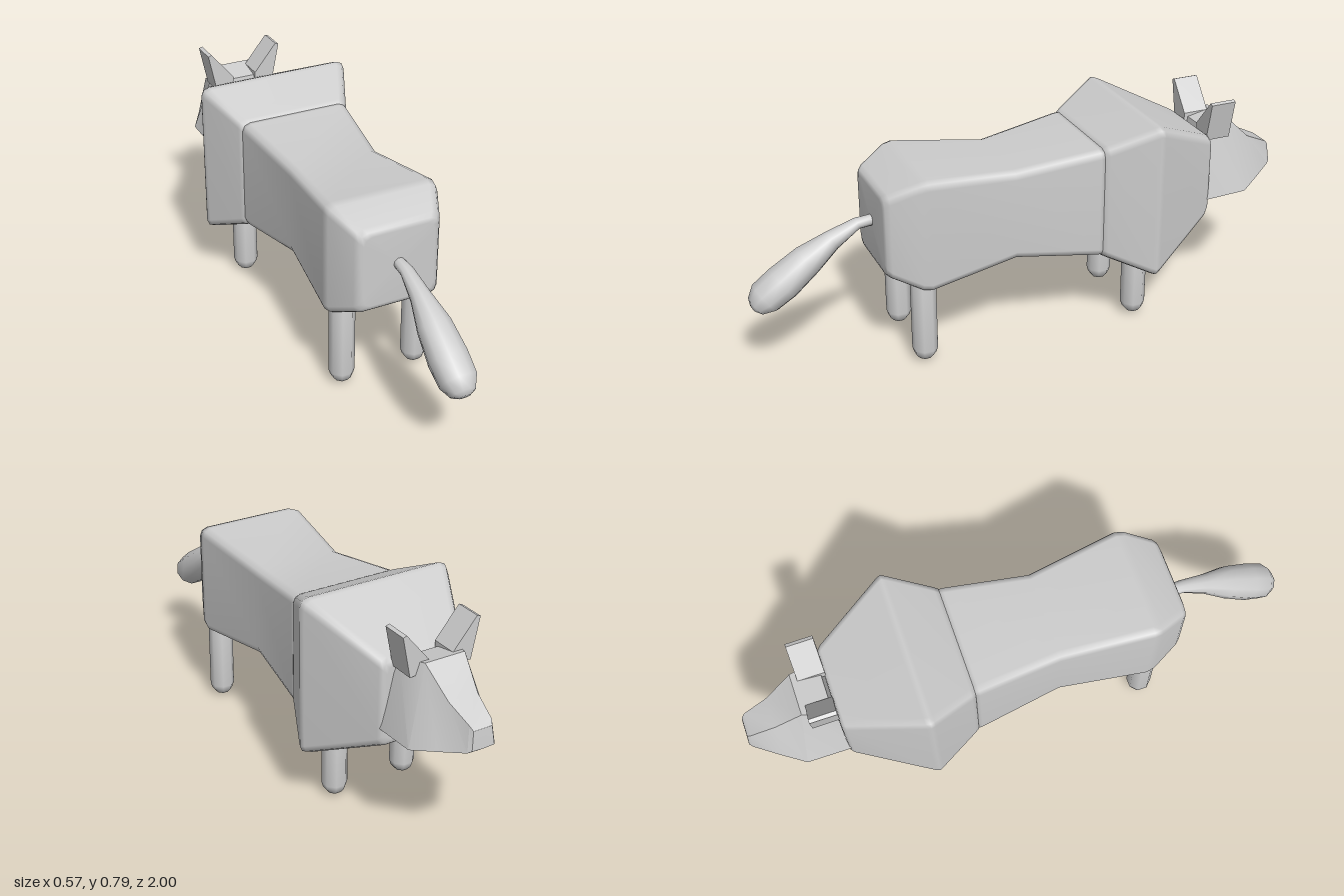
import * as THREE from 'three';
import { toCreasedNormals } from 'three/addons/utils/BufferGeometryUtils.js';

// Skin between rings of equal point count, with a fan closing each end.
function loft(rings, crease) {
  const n = rings[0].length, pos = [], idx = [];
  rings.forEach(r => r.forEach(p => pos.push(...p)));
  for (let i = 0; i < rings.length - 1; i++) {
    for (let j = 0; j < n; j++) {
      const a = i * n + j, b = i * n + (j + 1) % n;
      idx.push(a, b, a + n, b, b + n, a + n);
    }
  }
  [0, rings.length - 1].forEach(i => {
    const c = pos.length / 3;
    pos.push(...[0, 1, 2].map(k => rings[i].reduce((s, p) => s + p[k], 0) / n));
    for (let j = 0; j < n; j++) {
      const a = i * n + j, b = i * n + (j + 1) % n;
      idx.push(...(i === 0 ? [c, b, a] : [c, a, b]));
    }
  });
  // Turn the faces outward if the enclosed volume comes out negative.
  const v = k => new THREE.Vector3().fromArray(pos, idx[k] * 3);
  let volume = 0;
  for (let k = 0; k < idx.length; k += 3) volume += v(k).dot(v(k + 1).cross(v(k + 2)));
  if (volume < 0) idx.reverse();
  const g = new THREE.BufferGeometry();
  g.setAttribute('position', new THREE.Float32BufferAttribute(pos, 3));
  g.setIndex(idx);
  if (crease) return toCreasedNormals(g, crease);
  g.computeVertexNormals();
  return g;
}

// Square ring with rounded corners, facing along z.
function squareRing(z, half, r = 0.03) {
  const ring = [], cy = 0.5;
  for (let c = 0; c < 4; c++) {
    const mid = Math.PI / 4 + c * Math.PI / 2;
    for (let k = -1; k <= 1; k++) {
      const a = mid + k * Math.PI / 4;
      ring.push([
        Math.sign(Math.cos(mid)) * (half - r) + r * Math.cos(a),
        cy + Math.sign(Math.sin(mid)) * (half - r) + r * Math.sin(a), z]);
    }
  }
  return ring;
}

export function createModel() {
  const group = new THREE.Group();
  const grey = new THREE.MeshStandardMaterial({ color: 0xcccccc });
  grey.name = 'light grey';
  const add = (name, geometry, x = 0, y = 0, z = 0) => {
    const mesh = new THREE.Mesh(geometry, grey);
    mesh.name = name;
    mesh.position.set(x, y, z);
    group.add(mesh);
  };

  // Waisted trunk and the broader mane: [z, half size]
  const trunk = [[0.56, 0.13], [0.555, 0.145], [0.54, 0.157], [0.445, 0.201], [0.415, 0.206],
    [0.09, 0.168], [-0.21, 0.205], [-0.25, 0.205]];
  add('trunk', loft(trunk.map(([z, h]) => squareRing(z, h))));
  const mane = [[-0.22, 0.195], [-0.225, 0.207], [-0.24, 0.215], [-0.385, 0.28], [-0.4, 0.286],
    [-0.417, 0.28], [-0.665, 0.16], [-0.677, 0.15], [-0.68, 0.135]];
  add('mane', loft(mane.map(([z, h]) => squareRing(z, h))));

  // Wedge head: bottom [z, y, half width], top [z, y, half width], keel y
  const head = [
    [[-0.645, 0.41, 0.155], [-0.69, 0.66, 0.10], 0.39],
    [[-0.83, 0.417, 0.155], [-0.79, 0.68, 0.075], 0.41],
    [[-0.91, 0.437, 0.105], [-0.89, 0.587, 0.055], 0.432],
    [[-0.99, 0.457, 0.052], [-0.98, 0.545, 0.042], 0.455],
    [[-1.0, 0.465, 0.042], [-0.993, 0.53, 0.035], 0.463],
  ];
  add('head', loft(head.map(([b, t, keel]) => [
    [0, keel, b[0] - 0.005 * (b[0] > -0.95)],
    [b[2], b[1], b[0]], [t[2], t[1], t[0]],
    [-t[2], t[1], t[0]], [-b[2], b[1], b[0]],
  ]), 0.45));

  // Ears: wedges leaning outward, narrowing to a thin upper edge
  for (const s of [1, -1]) {
    const profile = [[0.045, 0.64], [0.045, 0.675], [0.132, 0.78], [0.145, 0.775], [0.115, 0.63]];
    add(s > 0 ? 'leftEar' : 'rightEar',
      loft([-0.675, -0.77].map(z => profile.map(([x, y]) => [s * x, y, z])), 0.3));
  }

  // Legs: eight-sided posts with rounded feet
  const legProfile = [[0, 0], [0.026, 0.014], [0.039, 0.03], [0.045, 0.05], [0.045, 0.36], [0, 0.36]]
    .map(p => new THREE.Vector2(...p));
  const leg = new THREE.LatheGeometry(legProfile, 8, Math.PI / 8);
  for (const s of [1, -1]) {
    const side = s > 0 ? 'left' : 'right';
    add(side + 'RearLeg', leg, s * 0.14, 0, 0.43);
    add(side + 'ForeLeg', leg, s * 0.14, 0, -0.385);
  }

  // Drooping tail: [z, y, half width, half depth, downward pitch]
  const tail = [
    [0.53, 0.51, 0.018, 0.02, 0], [0.61, 0.505, 0.025, 0.02, 0.25], [0.70, 0.46, 0.036, 0.036, 0.5],
    [0.79, 0.403, 0.06, 0.056, 0.62], [0.88, 0.337, 0.069, 0.065, 0.65],
    [0.945, 0.293, 0.066, 0.061, 0.65], [0.978, 0.268, 0.045, 0.037, 0.65], [0.988, 0.26, 0.02, 0.015, 0.65],
  ];
  add('tail', loft(tail.map(([z, y, w, d, pitch]) => Array.from({ length: 10 }, (_, j) => {
    const a = j / 10 * Math.PI * 2, v = d * Math.sin(a);
    return [w * Math.cos(a), y + v * Math.cos(pitch), z + v * Math.sin(pitch)];
  }))));

  return group;
}
